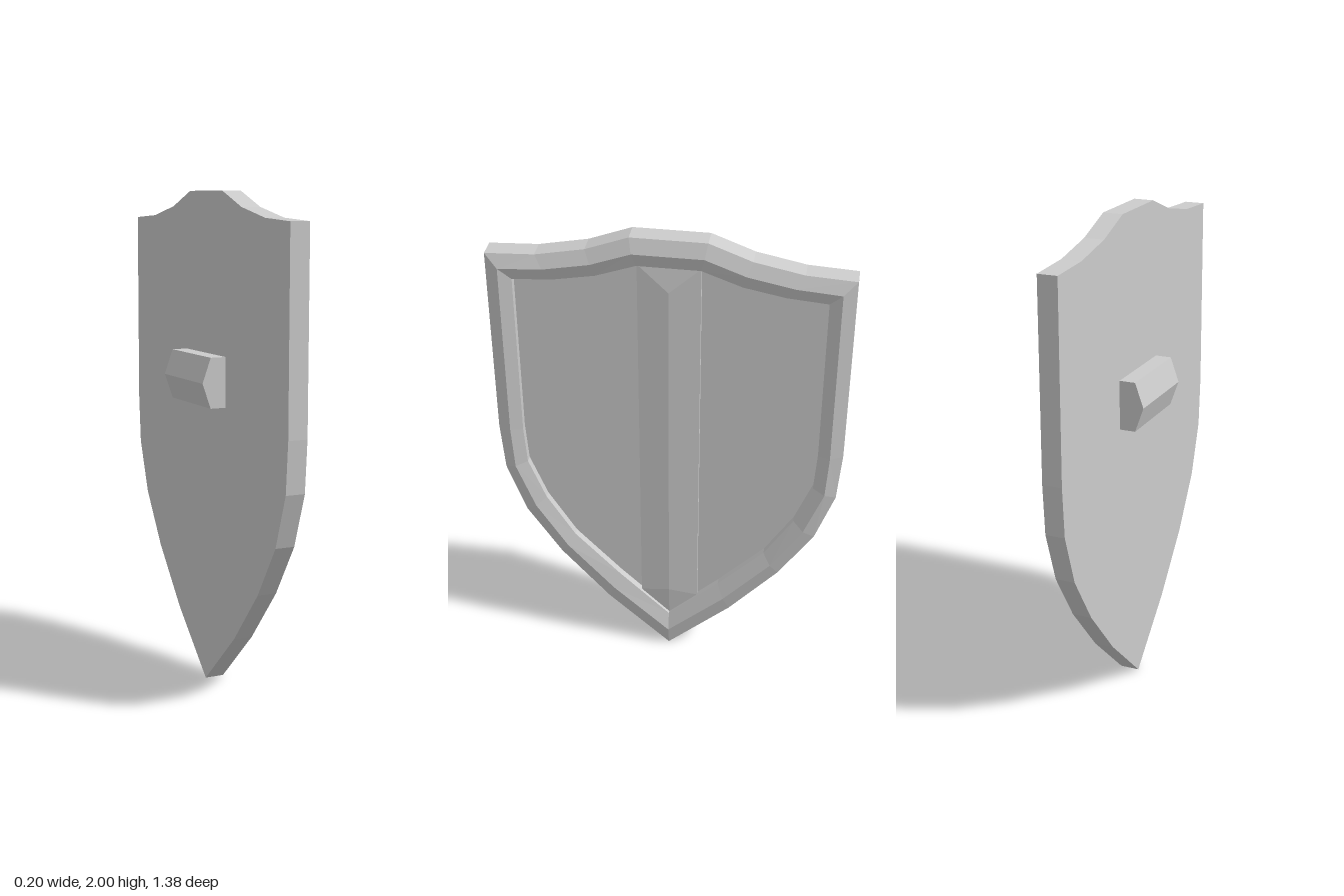
import * as THREE from 'three';

const material = new THREE.MeshStandardMaterial({ color: 0xcccccc, flatShading: true });

// Mirrors a right half outline (bottom tip first, going up) into a closed counterclockwise loop
const mirrorLoop = (half) => [
  ...half,
  ...half.slice(1).reverse().map(([u, y]) => [-u, y]),
];

// Places a loop at a depth
const ring = (loop, depth) => loop.map(([u, y]) => [u, y, depth]);

// Quads joining each ring to the next one
function bandFaces(rings) {
  const faces = [];
  for (let r = 0; r < rings.length - 1; r++) {
    const a = rings[r], b = rings[r + 1];
    for (let i = 0; i < a.length; i++) {
      const j = (i + 1) % a.length;
      faces.push([a[i], a[j], b[j], b[i]]);
    }
  }
  return faces;
}

// Flat shaded mesh from convex polygons
function facesMesh(name, faces) {
  const positions = [];
  for (const f of faces) {
    for (let i = 1; i < f.length - 1; i++) positions.push(...f[0], ...f[i], ...f[i + 1]);
  }
  const geometry = new THREE.BufferGeometry();
  geometry.setAttribute('position', new THREE.Float32BufferAttribute(positions, 3));
  geometry.computeVertexNormals();
  return namedMesh(name, geometry);
}

function namedMesh(name, geometry) {
  const mesh = new THREE.Mesh(geometry, material);
  mesh.name = name;
  return mesh;
}

const toShape = (loop) => new THREE.Shape(loop.map(([u, y]) => new THREE.Vector2(u, y)));

export function createModel() {
  const model = new THREE.Group();
  model.name = 'shield';

  // Outlines: outer edge, crest of the rim, inner edge of the rim
  const outer = mirrorLoop([[0, 0], [0.26, 0.24], [0.46, 0.47], [0.6, 0.685], [0.675, 0.9],
    [0.69, 1.105], [0.69, 1.89], [0.5, 1.9], [0.31, 1.938], [0.145, 2]]);
  const crest = mirrorLoop([[0, 0.09], [0.235, 0.305], [0.428, 0.52], [0.555, 0.72], [0.63, 0.918],
    [0.64, 1.1], [0.64, 1.838], [0.47, 1.85], [0.29, 1.885], [0.135, 1.942]]);
  const inner = mirrorLoop([[0, 0.17], [0.21, 0.372], [0.398, 0.57], [0.513, 0.757], [0.582, 0.935],
    [0.592, 1.095], [0.592, 1.788], [0.435, 1.8], [0.275, 1.83], [0.12, 1.885]]);

  // Rim: outer wall, two bevels and the wall down to the panel
  model.add(facesMesh('rim', bandFaces([
    ring(outer, 0), ring(outer, 0.08), ring(crest, 0.1), ring(inner, 0.08), ring(inner, 0.05),
  ])));

  // Recessed front panel and flat back
  model.add(namedMesh('panel', new THREE.ShapeGeometry(toShape(inner)).translate(0, 0, 0.05)));
  model.add(namedMesh('back', new THREE.ShapeGeometry(toShape(outer)).rotateY(Math.PI)));

  // Raised centre strip with a shallow hipped ridge
  const stripLoop = mirrorLoop([[0, 0.17], [0.12, 0.285], [0.12, 1.885]]);
  const top = ring(stripLoop, 0.067);
  const [tip, lowR, highR, highL, lowL] = top;
  const ridgeLow = [0, 0.31, 0.08], ridgeHigh = [0, 1.78, 0.08];
  model.add(facesMesh('centreStrip', [
    ...bandFaces([ring(stripLoop, 0.05), top]),
    [tip, lowR, ridgeLow],
    [lowR, highR, ridgeHigh, ridgeLow],
    [highR, highL, ridgeHigh],
    [highL, lowL, ridgeLow, ridgeHigh],
    [lowL, tip, ridgeLow],
  ]));

  // Pointed grip on the back
  const gripShape = toShape([[0, 1.16], [0.065, 1.16], [0.1, 1.26], [0.065, 1.36], [0, 1.36]]);
  const grip = new THREE.ExtrudeGeometry(gripShape, { depth: 0.36, bevelEnabled: false });
  grip.translate(0, 0, -0.18).rotateY(Math.PI / 2);
  model.add(namedMesh('grip', grip));

  // Turn the face of the shield toward +x
  for (const mesh of model.children) mesh.geometry.rotateY(Math.PI / 2);
  return model;
}
